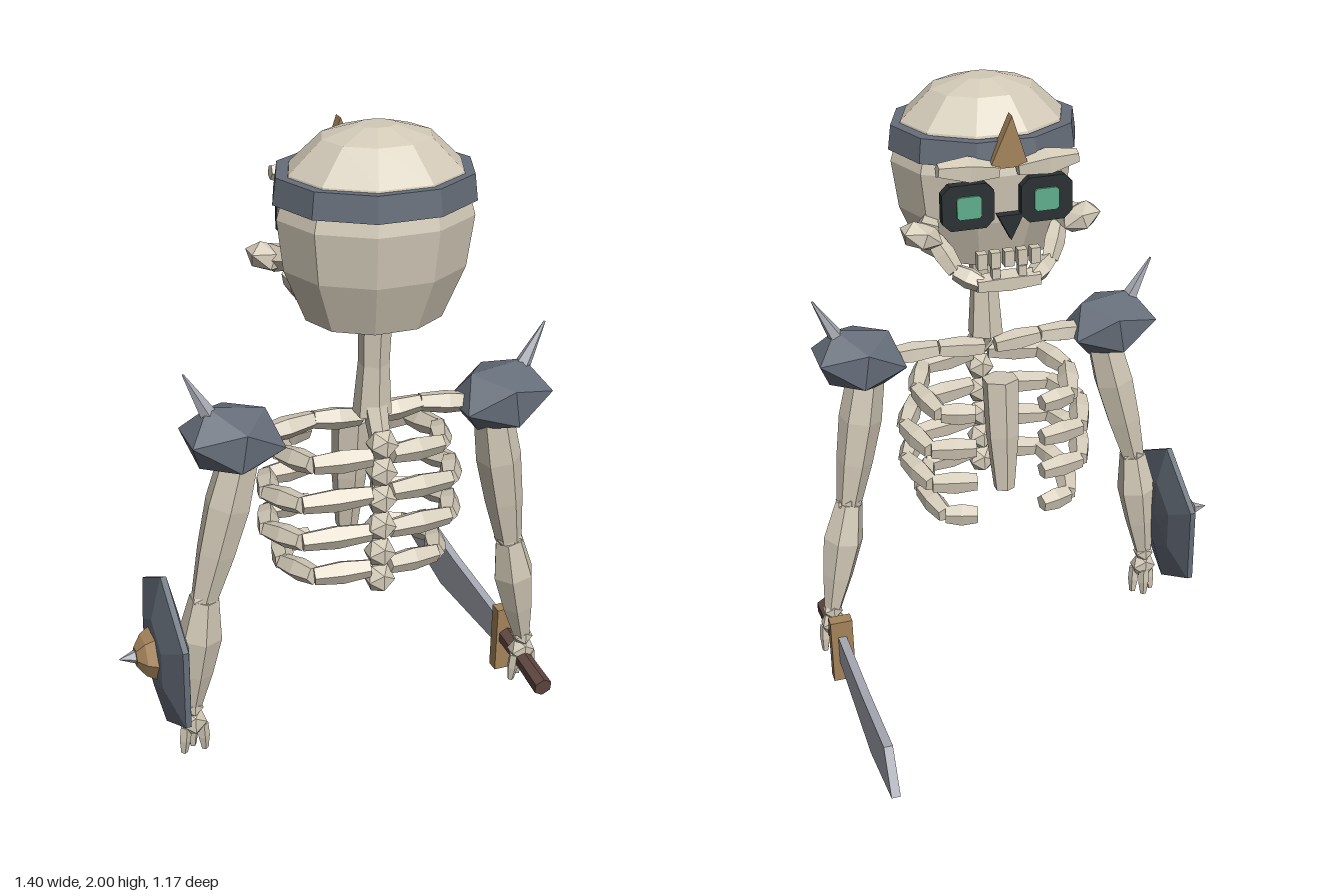
import * as THREE from 'three';

const mat = (name, color) => Object.assign(new THREE.MeshStandardMaterial({ color }), { name });
const V = (x, y, z) => new THREE.Vector3(x, y, z);

export function createModel() {
  const bone = mat('bone', 0xd3cab8);
  const iron = mat('dark iron', 0x666e7a);
  const steel = mat('blade steel', 0xa9acb5);
  const brass = mat('brass', 0xa5845a);
  const leather = mat('grip leather', 0x5f4741);
  const dark = mat('socket black', 0x2a3033);
  const glow = mat('eye green', 0x5fae8c);

  const model = new THREE.Group();
  model.name = 'skeletonWarrior';
  // Everything hangs on the body's middle line
  const body = new THREE.Group();
  body.name = 'body';
  body.position.x = 0.067;
  model.add(body);

  // Adds a faceted mesh
  const add = (name, geo, material, pos) => {
    const g = geo.index ? geo.toNonIndexed() : geo;
    g.computeVertexNormals();
    const mesh = new THREE.Mesh(g, material);
    mesh.name = name;
    if (pos) mesh.position.copy(pos);
    body.add(mesh);
    return mesh;
  };

  // Closed faceted solid from a to b, with radii spread evenly along it
  const limb = (name, a, b, radii, material = bone, sides = 6) => {
    const len = a.distanceTo(b);
    const pts = radii.map((r, i) => new THREE.Vector2(r, (len * i) / (radii.length - 1)));
    const profile = [new THREE.Vector2(0, 0), ...pts, new THREE.Vector2(0, len)];
    const mesh = add(name, new THREE.LatheGeometry(profile, sides), material, a);
    mesh.quaternion.setFromUnitVectors(V(0, 1, 0), b.clone().sub(a).normalize());
    return mesh;
  };
  const chain = (name, pts, r) => {
    for (let i = 0; i + 1 < pts.length; i++) limb(name, pts[i], pts[i + 1], [r * 0.85, r * 1.1, r * 0.85], bone, 5);
  };
  const box = (name, w, h, d, material, pos) => add(name, new THREE.BoxGeometry(w, h, d), material, pos);
  const knob = (name, r, pos, material = bone) => add(name, new THREE.IcosahedronGeometry(r, 0), material, pos);
  const plate = (name, pts, depth, material, pos) => add(name, new THREE.ExtrudeGeometry(
    new THREE.Shape(pts.map(([x, y]) => new THREE.Vector2(x, y))), { depth, bevelEnabled: false }), material, pos);
  const lathe = (name, pts, sides, material, pos, start = 0) => add(name, new THREE.LatheGeometry(
    pts.map(([x, y]) => new THREE.Vector2(x, y)), sides, start), material, pos);

  // Skull and headband
  const skull = lathe('skull', [[0, 1.455], [0.205, 1.455], [0.27, 1.61], [0.29, 1.76], [0.255, 1.88],
    [0.16, 1.97], [0.055, 2], [0, 2]], 10, bone, V(0, 0, 0.345), Math.PI / 2);
  skull.scale.z = 0.86;
  const band = lathe('headband', [[0.25, 1.8], [0.298, 1.8], [0.288, 1.875], [0.25, 1.875]],
    10, iron, V(0, 0, 0.336), Math.PI / 2);
  band.scale.z = 0.88;
  plate('browCrest', [[-0.06, 1.8], [0.06, 1.8], [-0.01, 1.955]], 0.036, brass, V(0, 0, 0.068));
  plate('noseHole', [[-0.04, 1.645], [0, 1.565], [0.04, 1.645]], 0.03, dark, V(-0.01, 0, 0.085));

  // Face parts in pairs
  const oct = (w, h, c) => [[-w + c, -h], [w - c, -h], [w, -h + c], [w, h - c], [w - c, h], [-w + c, h], [-w, h - c], [-w, -h + c]];
  for (const s of [1, -1]) {
    plate('eyeSocket', oct(0.08, 0.07, 0.025), 0.03, dark, V(s * 0.122, 1.685, 0.084));
    plate('eyeGlow', oct(0.038, 0.035, 0.008), 0.008, glow, V(s * 0.12, 1.685, 0.077));
    limb('brow', V(s * 0.03, 1.79, 0.085), V(s * 0.215, 1.81, 0.08), [0.025, 0.042, 0.022], bone, 5);
    const cheek = knob('cheekbone', 0.06, V(s * 0.25, 1.585, 0.155));
    cheek.scale.set(1.2, 0.75, 1);
    cheek.rotation.z = s * 0.35;
    limb('cheekRoot', V(s * 0.2, 1.6, 0.24), V(s * 0.23, 1.585, 0.16), [0.03, 0.045], bone, 5);
    chain('jawSide', [V(s * 0.2, 1.55, 0.21), V(s * 0.15, 1.46, 0.145), V(s * 0.08, 1.43, 0.095)], 0.032);
  }
  limb('chin', V(-0.1, 1.43, 0.095), V(0.1, 1.43, 0.095), [0.028, 0.036, 0.028], bone, 5);
  for (let i = -2; i <= 2; i++) {
    box('upperTooth', 0.03, 0.05, 0.03, bone, V(i * 0.042, 1.51, 0.088));
    if (i % 2) box('lowerTooth', 0.026, 0.035, 0.025, bone, V(i * 0.042, 1.465, 0.085));
  }

  // Neck, spine and breastbone
  limb('neck', V(0, 1.14, 0.35), V(0, 1.46, 0.36), [0.058, 0.046, 0.05]);
  for (let i = 0; i < 6; i++) knob('vertebra', 0.049, V(0, 1.07 - i * 0.09, 0.43));
  limb('breastbone', V(0, 0.66, 0.16), V(0, 1.05, 0.19), [0.035, 0.055, 0.06]);
  limb('upperSpine', V(0, 1.06, 0.42), V(0, 1.2, 0.355), [0.03, 0.04]);

  // Ribs
  [0.27, 0.315, 0.315, 0.265].forEach((w, i) => {
    const y = 1.035 - i * 0.125;
    for (const s of [1, -1]) {
      chain('rib', [V(s * 0.03, y, 0.43), V(s * w * 0.75, y - 0.01, 0.4), V(s * (w - 0.015), y - 0.025, 0.27),
        V(s * w * 0.8, y - 0.045, 0.125), V(s * 0.11, y - 0.05, 0.1)], 0.034);
    }
  });

  // Shoulders and arms; wrist position differs on each side
  for (const s of [1, -1]) {
    chain('collarBone', [V(s * 0.02, 1.11, 0.31), V(s * 0.17, 1.125, 0.31), V(s * 0.34, 1.11, 0.33)], 0.033);
    const pad = knob('shoulderPad', 1, V(s * 0.425, 1.12, 0.335), iron);
    pad.scale.set(0.165, 0.112, 0.14);
    pad.rotation.z = s * 0.15;
    limb('shoulderSpike', V(s * 0.475, 1.17, 0.335), V(s * 0.563, 1.337, 0.33), [0.032, 0.003], steel, 5);

    const shoulder = V(s * 0.405, 1.06, 0.335);
    const elbow = V(s * (s > 0 ? 0.49 : 0.52), 0.6, 0.325);
    const wrist = V(s * (s > 0 ? 0.575 : 0.562), 0.2, 0.3);
    limb('upperArm', shoulder, elbow, [0.06, 0.07, 0.06, 0.042]);
    knob('elbow', 0.047, elbow);
    limb('forearm', elbow, wrist, [0.046, 0.068, 0.052, 0.028]);
    knob('wrist', 0.036, wrist);
    const palm = knob('palm', 0.052, V(wrist.x, 0.145, 0.3));
    palm.scale.set(0.9, 1, 0.75);
    for (const [dx, dz] of [[-0.033, 0.008], [0.004, -0.02], [0.035, 0.008]]) {
      limb('finger', V(wrist.x + dx * 0.8, 0.135, 0.3 + dz), V(wrist.x + dx, 0.035, 0.295 + dz), [0.018, 0.019, 0.011], bone, 5);
    }
  }

  // Hexagonal shield with boss and spike, pointing outward along -x
  const shieldAt = V(-0.622, 0.385, 0.245);
  const outward = (mesh) => { mesh.rotation.z = Math.PI / 2; return mesh; };
  outward(lathe('shield', [[0, -0.045], [0.13, -0.04], [0.262, -0.008], [0.262, 0.01], [0.12, 0.045], [0, 0.048]],
    6, iron, shieldAt, Math.PI / 2));
  outward(lathe('shieldBoss', [[0, 0.035], [0.085, 0.04], [0.065, 0.075], [0.03, 0.1], [0, 0.1]], 6, brass, shieldAt));
  outward(lathe('shieldSpike', [[0, 0.08], [0.028, 0.085], [0.001, 0.15], [0, 0.15]], 5, steel, shieldAt));
  
  // Curved sword pointing forward
  const x = 0.573;
  limb('swordGrip', V(x, 0.1, 0.468), V(x, 0.138, 0.17), [0.032, 0.029, 0.032], leather);
  box('swordGuard', 0.074, 0.235, 0.042, brass, V(x, 0.1225, 0.18));
  const blade = plate('swordBlade', [[-0.17, 0.08], [0.295, 0.055], [0.585, 0.115], [0.51, 0.25], [0.205, 0.21], [-0.17, 0.18]],
    0.028, steel, V(x - 0.014, 0, 0));
  blade.rotation.y = Math.PI / 2;

  return model;
}
